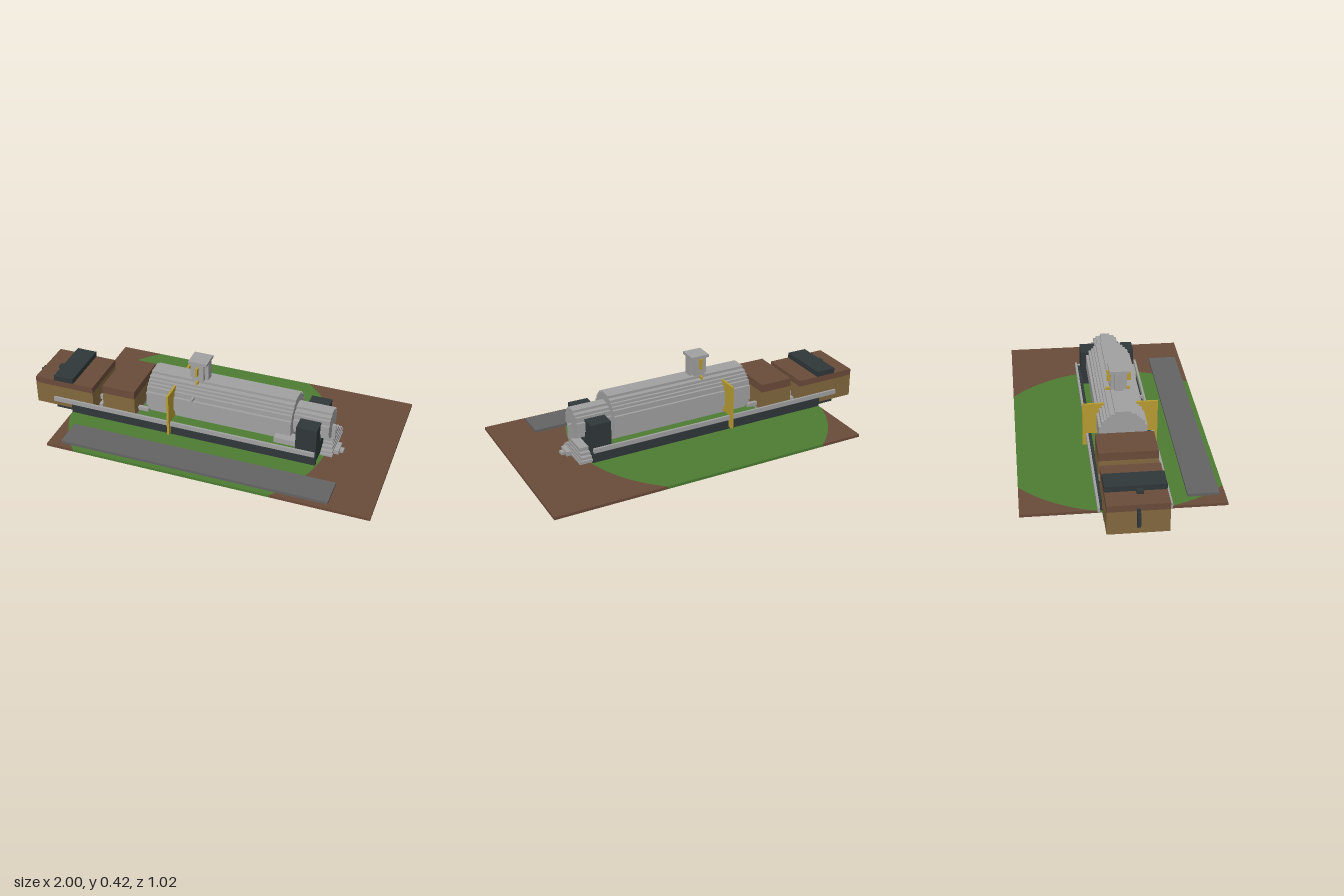
import * as THREE from 'three';

const mat = (name, color) => Object.assign(new THREE.MeshStandardMaterial({ color }), { name });

export function createModel() {
  const root = new THREE.Group();
  root.name = 'blockyLocomotive';
  const earth = mat('brown', 0x6b4c3a), grass = mat('green', 0x4e7d33), stone = mat('slabGrey', 0x646464);
  const steel = mat('lightGrey', 0xa2a2a2), iron = mat('charcoal', 0x30383a);
  const gold = mat('gold', 0xb99d33), wood = mat('tan', 0x83693f);
  const axis = 0.04; // z of the engine's centre line

  const add = (name, geo, m) => {
    const mesh = new THREE.Mesh(geo, m);
    mesh.name = name;
    root.add(mesh);
    return mesh;
  };
  // box from its limits
  const box = (name, m, x0, x1, y0, y1, z0, z1) =>
    add(name, new THREE.BoxGeometry(x1 - x0, y1 - y0, z1 - z0)
      .translate((x0 + x1) / 2, (y0 + y1) / 2, (z0 + z1) / 2), m);
  // same box on both sides of the engine, d = distance from the centre line
  const pair = (name, m, x0, x1, y0, y1, d0, d1) => {
    box(name + 'Left', m, x0, x1, y0, y1, axis + d0, axis + d1);
    box(name + 'Right', m, x0, x1, y0, y1, axis - d1, axis - d0);
  };
  const extrude = (pts, depth) => new THREE.ExtrudeGeometry(
    new THREE.Shape(pts.map(p => new THREE.Vector2(p[0], p[1]))), { depth, bevelEnabled: false });

  // ground plate: a grass disc clipped by a brown rectangle
  const R = 0.715, cx = -0.05, x0 = -0.74, x1 = 1, zE = 0.51, H = 0.015;
  const half = z => Math.sqrt(R * R - (z - axis) ** 2);
  const left = [], right = [];
  for (let i = 0; i <= 40; i++) {
    const z = -zE + (2 * zE * i) / 40;
    left.push([Math.max(x0, cx - half(z)), z]);
    right.push([cx + half(z), z]);
  }
  const ground = (name, pts, m) => add(name, extrude(pts, H).rotateX(Math.PI / 2).translate(0, H, 0), m);
  ground('grass', [...left, ...right.slice().reverse()], grass);
  ground('earthFront', [...right, [x1, zE], [x1, -zE]], earth);
  const clear = left.filter(p => p[0] > x0 + 1e-4);
  const backCorner = clear.filter(p => p[1] < 0), frontCorner = clear.filter(p => p[1] > 0);
  ground('earthCornerBack', [[x0, -zE], ...backCorner, [x0, backCorner.at(-1)[1] + 0.02]], earth);
  ground('earthCornerFront', [[x0, zE], [x0, frontCorner[0][1] - 0.02], ...frontCorner], earth);
  box('platform', stone, -0.67, 0.78, H, 0.03, 0.32, 0.48);

  // stepped barrel lying along x
  const barrel = (name, m, xa, xb, y, r, rows) => {
    const s = (2 * r) / rows, side = [];
    for (let k = 0; k < rows; k++) {
      const ya = -r + k * s, w = Math.round(Math.sqrt(r * r - (ya + s / 2) ** 2) / s) * s;
      side.push([w, ya], [w, ya + s]);
    }
    const pts = [...side, ...side.map(p => [-p[0], p[1]]).reverse()]
      .filter((p, i, a) => !i || p[0] !== a[i - 1][0] || p[1] !== a[i - 1][1]);
    add(name, extrude(pts, xb - xa).rotateY(Math.PI / 2).translate(xa, y, axis), m);
  };
  barrel('boiler', steel, -0.31, 0.49, 0.18, 0.125, 18);
  barrel('smokebox', steel, 0.49, 0.68, 0.18, 0.08, 12);

  // chimney
  box('chimneyPost', steel, -0.095, 0.005, 0.29, 0.405, 0.02, 0.065);
  box('chimneyCore', steel, -0.075, -0.015, 0.29, 0.405, 0, 0.085);
  box('chimneyCap', steel, -0.097, 0.006, 0.405, 0.42, -0.008, 0.092);
  box('chimneyFinLeft', gold, -0.053, -0.041, 0.345, 0.39, 0.08, 0.11);
  box('chimneyFinRight', gold, -0.053, -0.041, 0.345, 0.405, -0.02, 0.01);
  pair('chimneyFoot', gold, -0.053, -0.041, 0.285, 0.305, 0.03, 0.065);
  box('boilerValve', steel, -0.053, -0.041, 0.23, 0.245, 0.14, 0.18);

  // running gear
  pair('sideFrame', iron, -0.74, 0.64, H, 0.075, 0.148, 0.166);
  pair('sideRod', steel, -0.84, 0.635, 0.075, 0.1, 0.168, 0.18);
  box('frontSaddle', iron, 0.525, 0.635, H, 0.1, -0.11, 0.19);
  pair('deflector', iron, 0.525, 0.635, 0.1, 0.22, 0.067, 0.152);
  box('cylinderBlock', steel, 0.41, 0.525, 0.1, 0.13, 0.13, 0.195);
  pair('steamPipe', steel, -0.37, -0.31, 0.08, 0.1, 0.085, 0.105);
  box('drawBar', steel, -0.58, -0.56, 0.06, 0.1, -0.11, 0.19);
  pair('drawBarTab', steel, -0.61, -0.58, 0.075, 0.1, 0.06, 0.075);

  // gold wings on each side of the boiler
  pair('wing', gold, -0.166, -0.154, 0.1, 0.275, 0.08, 0.198);
  pair('wingPost', gold, -0.166, -0.154, 0.03, 0.1, 0.168, 0.198);

  // cab
  box('cabFloor', steel, -0.53, -0.39, 0.042, 0.055, -0.11, 0.19);
  box('cabBase', steel, -0.555, -0.37, 0.055, 0.07, -0.11, 0.19);
  box('cabWalls', wood, -0.555, -0.37, 0.07, 0.175, -0.11, 0.19);
  box('cabRoof', earth, -0.555, -0.37, 0.175, 0.22, -0.11, 0.19);

  // tender
  box('tenderFloor', iron, -0.84, -0.6, 0.017, 0.03, -0.11, 0.19);
  box('tenderBody', wood, -0.957, -0.617, 0.03, 0.155, -0.11, 0.19);
  box('tenderTop', earth, -0.957, -0.617, 0.155, 0.19, -0.11, 0.19);
  box('tenderHatch', iron, -0.845, -0.732, 0.19, 0.22, -0.11, 0.19);
  box('hatchLatch', iron, -0.873, -0.845, 0.19, 0.205, 0.04, 0.075);
  // stepped rear hook
  [[0.07, 0.17, 0.97], [0.08, 0.16, 0.985], [0.1, 0.145, 1]].forEach(([a, b, x], i) =>
    box('rearHook' + (i + 1), iron, -x, -0.957 - i * 0.013, a, b, 0.032, 0.048));

  // track sweeper at the nose
  const steps = [[0.015, 0.027, 0.11, -0.115], [0.027, 0.04, 0.1, -0.13], [0.04, 0.055, 0.08, -0.12],
    [0.055, 0.07, 0.06, -0.1], [0.07, 0.09, 0.05, -0.08]];
  steps.forEach(([a, b, l, r], i) =>
    box('sweeper' + (i + 1), steel, 0.64, 0.705 - i * 0.004, a, b, r, l));
  box('sweeperTip', steel, 0.705, 0.73, H, 0.04, 0, 0.075);
  box('sweeperPoint', steel, 0.73, 0.75, H, 0.03, 0.025, 0.055);
  box('noseSpike', steel, 0.68, 0.7, 0.09, 0.175, 0.035, 0.05);
  return root;
}
